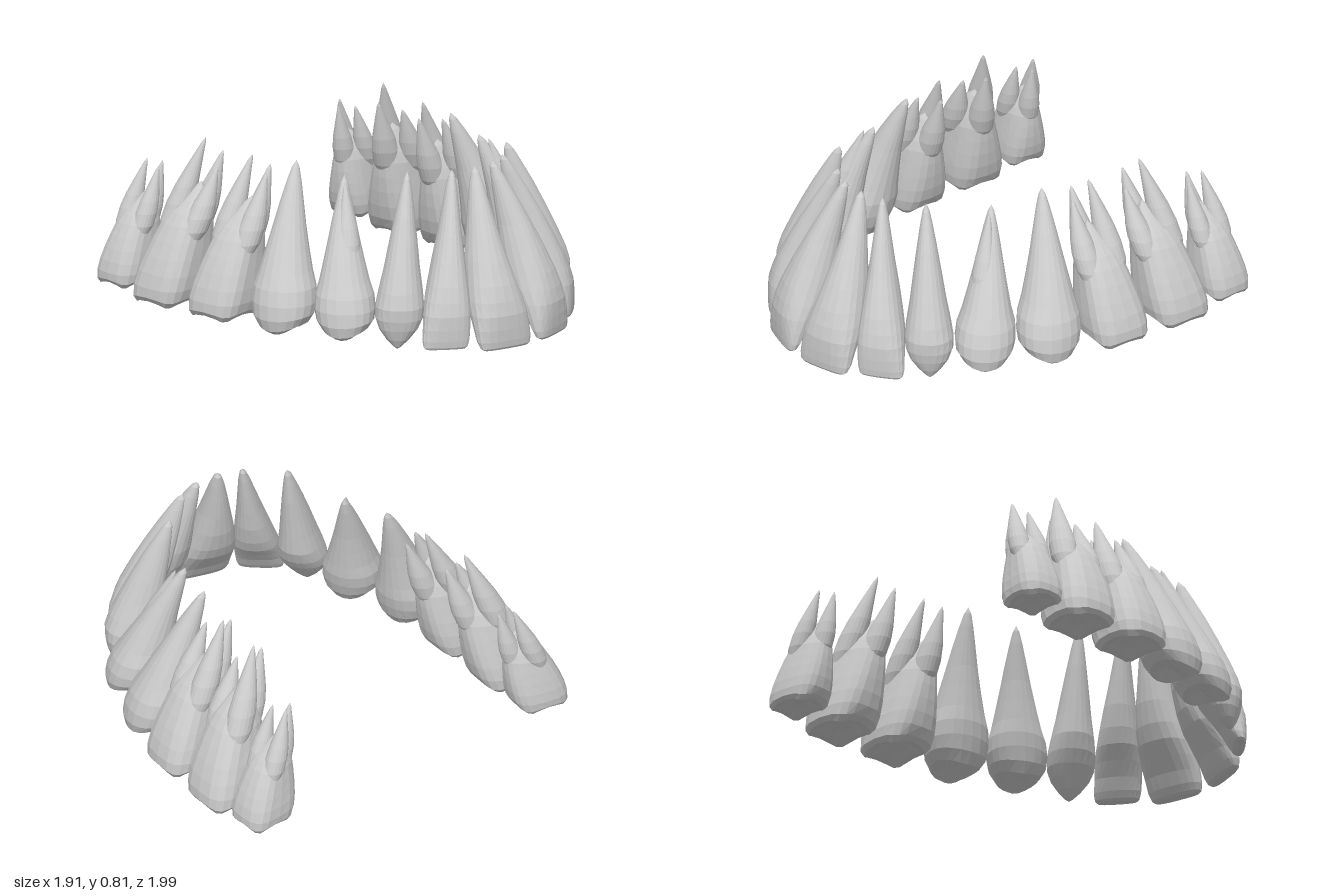
import * as THREE from 'three';

const SEG = 20;
const material = new THREE.MeshStandardMaterial({ color: 0xcccccc, flatShading: true, roughness: 0.7 });

// Cross-section rows, biting edge to root tip:
// [height fraction, width factor, depth factor, outward shift, cusp height]
const PROFILES = {
  incisor: [
    [0.01, 0, 0, 0.025], [0, 0.82, 0.18, 0.03], [0.012, 0.93, 0.28, 0.028], [0.05, 0.99, 0.4, 0.028], [0.12, 1, 0.56, 0.03],
    [0.2, 0.99, 0.78, 0.025], [0.28, 0.94, 0.95, 0.012], [0.37, 0.84, 1, 0.005], [0.5, 0.69, 0.93], [0.64, 0.52, 0.76],
    [0.78, 0.37, 0.55], [0.9, 0.24, 0.34], [0.97, 0.13, 0.19], [1, 0, 0],
  ],
  canine: [
    [0, 0, 0, 0.015], [0.015, 0.16, 0.14, 0.015], [0.06, 0.48, 0.36, 0.015], [0.12, 0.8, 0.58, 0.015], [0.18, 0.97, 0.78, 0.012],
    [0.25, 1, 0.95, 0.008], [0.34, 0.9, 1], [0.46, 0.74, 0.88], [0.6, 0.59, 0.72], [0.75, 0.42, 0.53],
    [0.88, 0.26, 0.32], [0.96, 0.14, 0.18], [1, 0, 0],
  ],
  premolar: [
    [0.07, 0, 0], [0.055, 0.25, 0.25, 0, 0.01], [0.025, 0.5, 0.55, 0, 0.015], [0.05, 0.75, 0.78, 0, 0.015],
    [0.11, 0.94, 0.94, 0, 0.008], [0.19, 1, 1], [0.28, 0.96, 0.98], [0.37, 0.81, 0.88], [0.5, 0.65, 0.73],
    [0.63, 0.5, 0.57], [0.76, 0.36, 0.42], [0.88, 0.22, 0.27], [0.96, 0.11, 0.14], [1, 0, 0],
  ],
  molar: [
    [0.06, 0, 0], [0.045, 0.3, 0.3, 0, 0.004], [0.012, 0.62, 0.62, 0, 0.008], [0.008, 0.8, 0.8, 0, 0.01],
    [0.04, 0.94, 0.93, 0, 0.007], [0.11, 1, 1], [0.2, 1, 1], [0.3, 0.96, 0.95], [0.4, 0.9, 0.87],
    [0.5, 0.83, 0.76], [0.57, 0.69, 0.63], [0.64, 0.48, 0.43], [0.71, 0.22, 0.2], [0.75, 0, 0],
  ],
};

// base and apex are [x, y, z]; angle is the outward heading measured from the front.
// bow: how far the root curves [sideways, outward] between base and apex.
// roots: [tip, sideways start, outward start], starts as fractions of width and depth.
const TEETH = [
  { name: 'centralIncisor', type: 'incisor', angle: 15, w: 0.285, d: 0.22, base: [0.152, 0, 0.925], apex: [0.06, 0.8, 0.66], bow: [0.017, 0.005] },
  { name: 'lateralIncisor', type: 'incisor', angle: 38, w: 0.225, d: 0.21, base: [0.4, 0.02, 0.788], apex: [0.172, 0.8, 0.62], bow: [0, 0.005] },
  { name: 'canine', type: 'canine', angle: 52, w: 0.23, d: 0.24, base: [0.537, 0.01, 0.615], apex: [0.337, 0.8, 0.49], bow: [0, 0.01] },
  { name: 'firstPremolar', type: 'premolar', angle: 64, w: 0.285, d: 0.28, base: [0.65, 0.04, 0.39], apex: [0.458, 0.75, 0.2], bow: [0, 0.016],
    roots: [[[0.49, 0.73, 0.235], -0.1, 0.1]] },
  { name: 'secondPremolar', type: 'premolar', angle: 80, w: 0.305, d: 0.285, base: [0.758, 0.03, 0.088], apex: [0.525, 0.79, -0.043], bow: [0, 0.018] },
  { name: 'firstMolar', type: 'molar', angle: 88, w: 0.31, d: 0.325, base: [0.803, 0.06, -0.253], apex: [0.57, 0.78, -0.22], bow: [0, 0.006],
    roots: [[[0.505, 0.73, -0.228], 0, -0.2], [[0.6, 0.72, -0.165], -0.23, 0.16], [[0.58, 0.785, -0.272], 0.23, 0.16]] },
  { name: 'secondMolar', type: 'molar', angle: 91, w: 0.315, d: 0.325, base: [0.813, 0.06, -0.598], apex: [0.59, 0.8, -0.51], bow: [0, 0.006],
    roots: [[[0.53, 0.745, -0.508], 0, -0.2], [[0.63, 0.7, -0.45], -0.23, 0.16], [[0.605, 0.815, -0.548], 0.23, 0.16]] },
  { name: 'thirdMolar', type: 'molar', angle: 94, w: 0.25, d: 0.275, base: [0.797, 0.09, -0.878], apex: [0.64, 0.66, -0.835], bow: [0, 0.006],
    roots: [[[0.6, 0.645, -0.83], 0, -0.2], [[0.67, 0.64, -0.79], -0.23, 0.16], [[0.655, 0.66, -0.875], 0.23, 0.16]] },
];

// Skins a stack of rings; side = -1 mirrors the surface across x.
function loft(rings, side) {
  const pos = [], idx = [];
  rings.forEach((ring, r) => ring.forEach((p, j) => {
    pos.push(p.x * side, p.y, p.z);
    if (r === rings.length - 1) return;
    const k = (j + 1) % SEG;
    const a = r * SEG + j, b = a + SEG, c = r * SEG + k, d = c + SEG;
    if (side > 0) idx.push(a, b, c, c, b, d);
    else idx.push(a, c, b, c, d, b);
  }));
  const geo = new THREE.BufferGeometry();
  geo.setAttribute('position', new THREE.Float32BufferAttribute(pos, 3));
  geo.setIndex(idx);
  geo.computeVertexNormals();
  return geo;
}

// Sideways and outward directions of a tooth
function axes(degrees) {
  const a = THREE.MathUtils.degToRad(degrees);
  return [new THREE.Vector3(Math.cos(a), 0, -Math.sin(a)), new THREE.Vector3(Math.sin(a), 0, Math.cos(a))];
}

// One rounded-rectangle ring: n = 2 gives an ellipse, more gives squarer corners;
// taper narrows the side facing the tongue.
function makeRing(center, [T, O], w, d, { n = 2, taper = 0, cusp = () => 0 } = {}) {
  const power = (v) => Math.sign(v) * Math.pow(Math.abs(v), 2 / n);
  return Array.from({ length: SEG }, (_, j) => {
    const a = (j / SEG) * Math.PI * 2;
    const v = power(Math.sin(a));
    const p = center.clone()
      .addScaledVector(T, power(Math.cos(a)) * (1 - taper * (1 - v) / 2) * w / 2)
      .addScaledVector(O, v * d / 2);
    p.y += cusp(a);
    return p;
  });
}

function bodyRings({ type, angle, w, d, base, apex, bow }) {
  const dirs = axes(angle);
  const from = new THREE.Vector3(...base), to = new THREE.Vector3(...apex);
  const square = { molar: 3.3, incisor: 2.7, canine: 2.2, premolar: 2.2 }[type];
  const cusps = type === 'molar' ? 4 : 2;
  return PROFILES[type].map(([t, fw, fd, shift = 0, h = 0]) => {
    const bend = Math.sin(Math.PI * t);
    const c = from.clone().lerp(to, t)
      .addScaledVector(dirs[0], bow[0] * bend)
      .addScaledVector(dirs[1], bow[1] * bend + shift);
    return makeRing(c, dirs, w * fw, d * fd, {
      n: THREE.MathUtils.lerp(square, 2, Math.min(1, t * 1.4)),
      taper: type === 'molar' ? 0.08 + 0.6 * t : 0,
      cusp: (a) => h * Math.cos(cusps * a),
    });
  });
}

// Slender root that grows out of the trunk and bends towards its own tip
function rootRings({ angle, base, apex, w, d }, [tip, u, v]) {
  const dirs = axes(angle);
  const end = new THREE.Vector3(...tip);
  const start = new THREE.Vector3(...base).lerp(new THREE.Vector3(...apex), 0.36)
    .addScaledVector(dirs[0], u * w).addScaledVector(dirs[1], v * d);
  const mid = start.clone().lerp(end, 0.55).addScaledVector(dirs[0], u * w * 0.12);
  const curve = new THREE.QuadraticBezierCurve3(start, mid, end);
  const rows = [[0, 0], [0.06, 0.26], [0.2, 0.38], [0.36, 0.39], [0.52, 0.33], [0.68, 0.23], [0.82, 0.14], [0.94, 0.065], [1, 0]];
  return rows.map(([t, r]) => makeRing(curve.getPoint(t), dirs, w * r, w * r * 1.1));
}

export function createModel() {
  const model = new THREE.Group();
  model.name = 'upperTeeth';
  for (const side of [1, -1]) {
    const row = new THREE.Group();
    row.name = side > 0 ? 'leftRow' : 'rightRow';
    for (const spec of TEETH) {
      const tooth = new THREE.Group();
      tooth.name = spec.name;
      const add = (rings, name) => {
        const mesh = new THREE.Mesh(loft(rings, side), material);
        mesh.name = name;
        tooth.add(mesh);
      };
      add(bodyRings(spec), 'crown');
      (spec.roots || []).forEach((root) => add(rootRings(spec, root), 'root'));
      row.add(tooth);
    }
    model.add(row);
  }
  return model;
}
